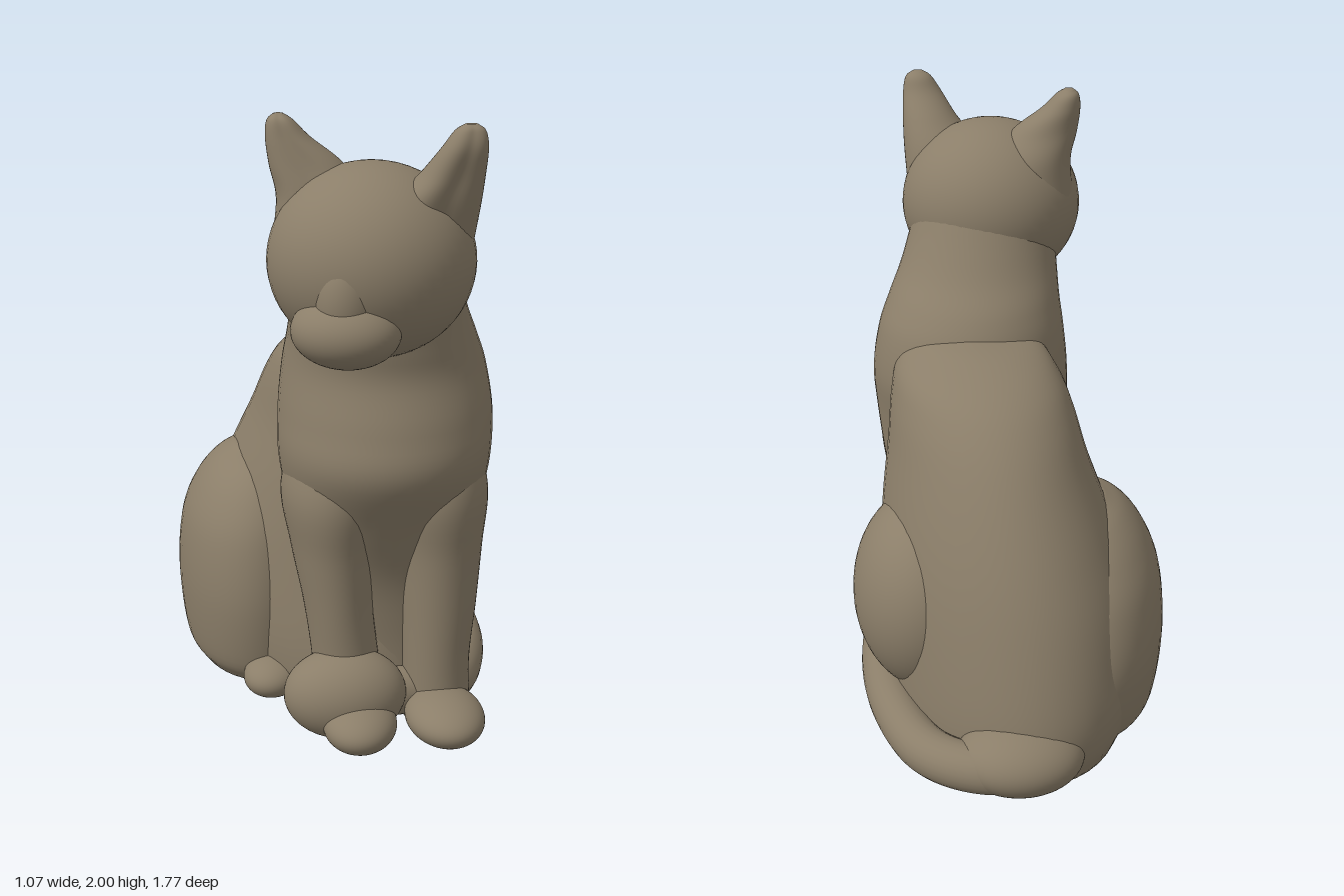
import * as THREE from 'three';

const clay = new THREE.MeshStandardMaterial({ color: 0x8b7e69 });
clay.name = 'warm grey clay';

// Smooth skin over horizontal oval slices [y, xMin, xMax, zMin, zMax].
// shear slides x with z; dent hollows the side facing the angle dentAt.
function loft(slices, { shear = 0, dent = 0, dentAt = 0, sides = 48, steps = 6 } = {}) {
  const curve = (a, b) => new THREE.CatmullRomCurve3(
    slices.map((s) => new THREE.Vector3(s[0], s[a], s[b])), false, 'catmullrom', 0.5);
  const xs = curve(1, 2), zs = curve(3, 4);
  const n = (slices.length - 1) * steps;
  const pos = [], index = [];
  for (let i = -1; i <= n + 1; i++) {
    const t = Math.min(Math.max(i / n, 0), 1);
    const size = i < 0 || i > n ? 0 : 1; // closing poles
    const px = xs.getPoint(t), pz = zs.getPoint(t);
    const cx = (px.y + px.z) / 2, rx = size * (px.z - px.y) / 2;
    const cz = (pz.y + pz.z) / 2, rz = size * (pz.z - pz.y) / 2;
    for (let j = 0; j < sides; j++) {
      const a = (j / sides) * Math.PI * 2;
      const k = 1 - dent * Math.exp(-6 * (1 - Math.cos(a - dentAt)));
      const dz = rz * Math.sin(a) * k;
      pos.push(cx + rx * Math.cos(a) * k + shear * dz, px.x, cz + dz);
    }
  }
  for (let i = 0; i < n + 2; i++) {
    for (let j = 0; j < sides; j++) {
      const a = i * sides + j, b = i * sides + (j + 1) % sides;
      index.push(a, a + sides, b, b, a + sides, b + sides);
    }
  }
  const geo = new THREE.BufferGeometry();
  geo.setAttribute('position', new THREE.Float32BufferAttribute(pos, 3));
  geo.setIndex(index);
  geo.computeVertexNormals();
  return geo;
}

// Oval lump, turned about y and cut flat at the floor
function lump(center, radii, yaw = 0) {
  const geo = new THREE.SphereGeometry(1, 48, 32);
  geo.scale(...radii).rotateY(yaw).translate(...center);
  const p = geo.attributes.position;
  for (let i = 0; i < p.count; i++) p.setY(i, Math.max(p.getY(i), 0));
  return geo;
}

export function createModel() {
  const cat = new THREE.Group();
  cat.name = 'sittingCat';
  const add = (name, geo) => {
    const mesh = new THREE.Mesh(geo, clay);
    mesh.name = name;
    cat.add(mesh);
  };

  // Back and rump, leaning forward to the shoulders
  add('rump', loft([
    [0, -0.38, 0.42, -0.74, 0.45],
    [0.1, -0.41, 0.44, -0.77, 0.46],
    [0.25, -0.42, 0.44, -0.76, 0.45],
    [0.5, -0.4, 0.44, -0.69, 0.42],
    [0.7, -0.34, 0.43, -0.61, 0.42],
    [0.9, -0.26, 0.41, -0.5, 0.42],
    [1.05, -0.21, 0.4, -0.39, 0.42],
    [1.15, -0.16, 0.38, -0.27, 0.4],
    [1.22, -0.08, 0.32, -0.1, 0.38],
    [1.25, 0.08, 0.22, 0.05, 0.25],
  ], { shear: 0.18 }));

  // Chest, shoulders and neck in one column
  add('chestAndNeck', loft([
    [0.1, 0.02, 0.38, 0.15, 0.44],
    [0.3, -0.05, 0.41, 0.12, 0.46],
    [0.5, -0.11, 0.43, 0.08, 0.5],
    [0.7, -0.165, 0.46, 0.04, 0.59],
    [0.9, -0.2, 0.485, 0, 0.695],
    [1.05, -0.2, 0.49, -0.02, 0.68],
    [1.2, -0.185, 0.465, 0.01, 0.64],
    [1.3, -0.17, 0.43, 0.06, 0.645],
    [1.4, -0.16, 0.39, 0.14, 0.66],
    [1.5, -0.15, 0.36, 0.2, 0.68],
    [1.65, -0.13, 0.32, 0.28, 0.68],
    [1.78, -0.07, 0.26, 0.36, 0.66],
    [1.85, 0.05, 0.18, 0.46, 0.58],
  ]));

  // Haunches
  add('rightHaunch', loft([
    [0, -0.47, 0, -0.52, 0.2],
    [0.08, -0.515, 0, -0.59, 0.24],
    [0.3, -0.537, 0, -0.62, 0.26],
    [0.5, -0.52, -0.02, -0.56, 0.23],
    [0.63, -0.47, -0.05, -0.47, 0.17],
    [0.72, -0.4, -0.1, -0.36, 0.08],
    [0.77, -0.32, -0.17, -0.24, -0.05],
  ]));
  add('leftHaunch', lump([0.28, 0.42, -0.19], [0.255, 0.355, 0.33], 0.1));
  add('rightHindPaw', lump([-0.22, 0.05, 0.24], [0.1, 0.07, 0.12], -0.3));

  // Front legs and paws
  add('leftFrontLeg', loft([
    [0, 0.2, 0.43, 0.3, 0.58],
    [0.2, 0.2, 0.42, 0.32, 0.575],
    [0.4, 0.19, 0.44, 0.28, 0.58],
    [0.6, 0.17, 0.46, 0.2, 0.59],
    [0.8, 0.14, 0.475, 0.15, 0.61],
    [1, 0.18, 0.42, 0.25, 0.55],
  ]));
  add('rightFrontLeg', loft([
    [0, -0.1, 0.13, 0.3, 0.58],
    [0.2, -0.1, 0.12, 0.32, 0.575],
    [0.4, -0.125, 0.1, 0.28, 0.58],
    [0.6, -0.165, 0.11, 0.2, 0.59],
    [0.8, -0.195, 0.14, 0.15, 0.61],
    [1, -0.14, 0.12, 0.25, 0.55],
  ]));
  add('leftFrontPaw', lump([0.32, 0.065, 0.6], [0.128, 0.08, 0.17], 0.1));
  add('rightFrontPaw', lump([0.04, 0.065, 0.63], [0.12, 0.08, 0.15], -0.1));

  // Tail curled round the left side, its tip resting on the right paw
  const tailPath = new THREE.CatmullRomCurve3([
    [-0.14, 0.1, -0.74], [0.05, 0.095, -0.775], [0.24, 0.085, -0.68],
    [0.38, 0.085, -0.43], [0.448, 0.085, -0.1], [0.435, 0.08, 0.2],
    [0.35, 0.08, 0.4], [0.15, 0.1, 0.49], [0, 0.12, 0.53],
  ].map((p) => new THREE.Vector3(...p)));
  add('tail', new THREE.TubeGeometry(tailPath, 96, 0.08, 24));
  add('tailRoot', lump([-0.05, 0.11, -0.71], [0.21, 0.12, 0.17], 0.1));
  add('tailTip', lump([0, 0.13, 0.54], [0.2, 0.15, 0.145]));

  // Head, turned towards the right shoulder
  const turn = -0.44;
  add('head', lump([0.075, 1.575, 0.545], [0.315, 0.295, 0.31], turn));
  add('muzzle', lump([-0.02, 1.41, 0.745], [0.165, 0.11, 0.14], turn));
  add('noseBridge', lump([-0.01, 1.5, 0.74], [0.1, 0.16, 0.115], turn));

  // Ears, hollowed at the front
  add('leftEar', loft([
    [1.6, 0.1, 0.37, 0.45, 0.7],
    [1.75, 0.12, 0.385, 0.5, 0.75],
    [1.85, 0.2, 0.39, 0.57, 0.76],
    [1.93, 0.255, 0.39, 0.64, 0.765],
    [1.98, 0.29, 0.38, 0.67, 0.75],
    [2, 0.32, 0.355, 0.7, 0.725],
  ], { dent: 0.25, dentAt: 1.4 }));
  add('rightEar', loft([
    [1.6, -0.22, 0.05, 0.33, 0.62],
    [1.75, -0.205, 0.06, 0.34, 0.6],
    [1.85, -0.225, 0, 0.38, 0.56],
    [1.93, -0.235, -0.1, 0.395, 0.53],
    [1.98, -0.23, -0.15, 0.41, 0.51],
    [2, -0.21, -0.18, 0.44, 0.48],
  ], { dent: 0.25, dentAt: 1.7 }));

  return cat;
}
